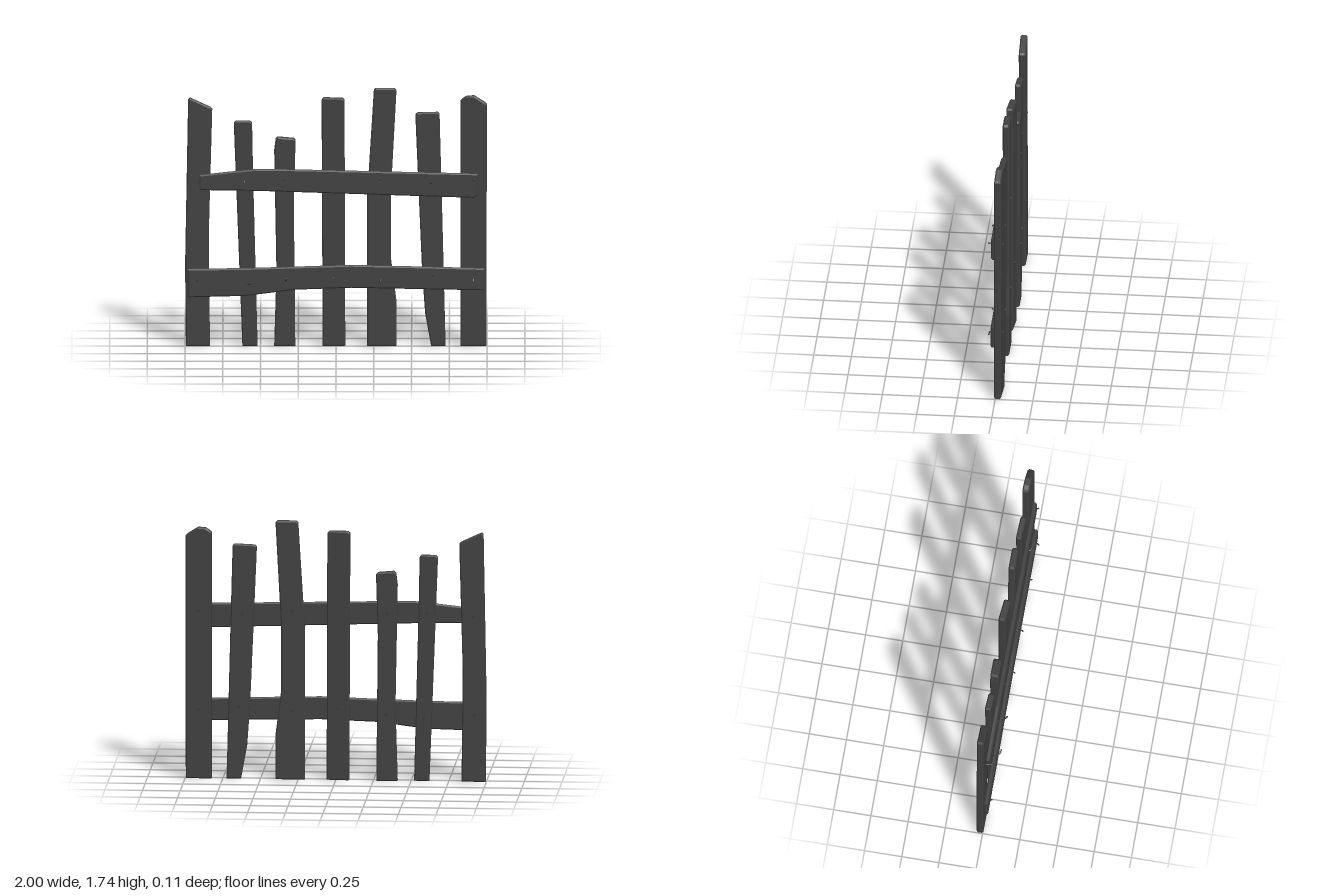
import * as THREE from 'three';

const wood = new THREE.MeshStandardMaterial({ color: 0x404040 });
const iron = new THREE.MeshStandardMaterial({ color: 0x383838, flatShading: true });

// Bevelled board cut from an outline, lying between two depths and twisted about its own upright axis
function board(name, outline, back, front, twist = 0) {
  const bevel = 0.008;
  const xs = outline.map(p => p[0]);
  const cx = (Math.min(...xs) + Math.max(...xs)) / 2;
  const depth = front - back - 2 * bevel;
  const shape = new THREE.Shape(outline.map(([x, y]) => new THREE.Vector2(x - cx, y)));
  const geo = new THREE.ExtrudeGeometry(shape, {
    depth, bevelThickness: bevel, bevelSize: bevel, bevelOffset: -bevel, bevelSegments: 1,
  });
  geo.translate(0, 0, -depth / 2);
  const mesh = new THREE.Mesh(geo, wood);
  mesh.name = name;
  mesh.position.set(cx, 0, (back + front) / 2);
  mesh.rotation.y = twist;
  return mesh;
}

// Both edges of a picket from the ground up, bent at their kinks
function picketEdges({ foot, top, left = [], right = [] }) {
  const [x0, y0, x1, y1] = top;
  return {
    left: [[foot[0], 0], ...left, [x0, y0]],
    right: [[foot[1], 0], ...right, [x1, y1]],
  };
}

// Outline of a picket, with both top corners clipped
function picketOutline(p) {
  const clip = 0.012;
  const { left, right } = picketEdges(p);
  const [x0, y0] = left.pop();
  const [x1, y1] = right.pop();
  return [...right, [x1, y1 - clip], [x1 - clip, y1], ...(p.crown ?? []), [x0 + clip, y0], [x0, y0 - clip],
    ...left.reverse()];
}

// x of an edge at height y
function edgeX(edge, y) {
  const i = edge.findIndex(p => p[1] > y);
  const [[xa, ya], [xb, yb]] = [edge[i - 1], edge[i]];
  return THREE.MathUtils.lerp(xa, xb, (y - ya) / (yb - ya));
}

// Rail from sections of [x, bottom, top]
function rail(name, sections) {
  const bottom = sections.map(([x, low]) => [x, low]);
  const top = sections.map(([x, , high]) => [x, high]).reverse();
  return board(name, [...bottom, ...top], 0.002, 0.034);
}

// Nail driven from behind: round head at the back, bent tip coming out in front
function nail(x, y, back, dx, dy) {
  const g = new THREE.Group();
  g.name = 'nail';
  const head = new THREE.Mesh(new THREE.CylinderGeometry(0.011, 0.011, 0.01, 8), iron);
  head.name = 'nailHead';
  head.rotation.x = Math.PI / 2;
  head.position.set(x, y, back - 0.001);
  const bend = new THREE.CatmullRomCurve3([
    new THREE.Vector3(x, y, back),
    new THREE.Vector3(x, y, 0.036),
    new THREE.Vector3(x + dx * 0.4, y + dy * 0.4, 0.046),
    new THREE.Vector3(x + dx, y + dy, 0.05),
  ]);
  const shank = new THREE.Mesh(new THREE.TubeGeometry(bend, 10, 0.005, 6), iron);
  shank.name = 'nailShank';
  const tip = new THREE.Mesh(new THREE.SphereGeometry(0.005, 6, 4), iron);
  tip.name = 'nailTip';
  tip.position.copy(bend.getPoint(1));
  g.add(head, shank, tip);
  return g;
}

// Pickets: foot is [left, right], top is [left x, y, right x, y], kinks are [x, y]
const pickets = [
  { foot: [-0.995, -0.835], top: [-0.98, 1.675, -0.82, 1.612], left: [[-1, 0.55]], right: [[-0.843, 0.75]], back: -0.042 },
  { foot: [-0.62, -0.52], top: [-0.677, 1.52, -0.557, 1.52], right: [[-0.55, 1.15]], back: -0.036, twist: -0.06 },
  { foot: [-0.41, -0.27], top: [-0.4, 1.41, -0.268, 1.4], left: [[-0.395, 0.5], [-0.41, 1.32]], right: [[-0.28, 0.98]], back: -0.051 },
  { foot: [-0.088, 0.06], top: [-0.095, 1.675, 0.055, 1.675], back: -0.042, twist: -0.1 },
  { foot: [0.205, 0.4], top: [0.25, 1.74, 0.4, 1.74], left: [[0.205, 1]], right: [[0.4, 0.3], [0.362, 0.6], [0.362, 1.02]], back: -0.04 },
  { foot: [0.63, 0.725], top: [0.525, 1.575, 0.685, 1.58], left: [[0.59, 0.22], [0.57, 0.5]], right: [[0.7, 1]], back: -0.034, twist: -0.04 },
  { foot: [0.825, 0.995], top: [0.825, 1.67, 0.998, 1.645], crown: [[0.915, 1.69], [0.865, 1.687]], back: -0.042, twist: -0.06 },
];

// Nails: picket index, height and the way the tip is bent
const nails = [
  [0, 1.115, 0.008, 0], [1, 1.13, 0, -0.014], [2, 1.13, 0.004, 0.004],
  [4, 1.135, 0, 0.006], [5, 1.11, 0.022, 0.004], [6, 1.13, 0.005, 0.006],
  [0, 0.45, 0.004, 0.004], [1, 0.425, 0.03, 0.012], [2, 0.448, 0.01, 0.018], [3, 0.48, 0, -0.014],
  [4, 0.46, 0, -0.02], [5, 0.485, 0.004, 0.003], [6, 0.465, 0, -0.025],
];

export function createModel() {
  const fence = new THREE.Group();
  fence.name = 'fence';
  pickets.forEach((p, i) => {
    fence.add(board(`picket${i + 1}`, picketOutline(p), p.back, 0.004, p.twist));
  });
  fence.add(
    rail('upperRail', [[-0.905, 1.06, 1.16], [-0.68, 1.057, 1.185], [-0.53, 1.055, 1.2], [-0.27, 1.047, 1.197],
      [0.915, 1.008, 1.17], [0.94, 1.03, 1.17]]),
    rail('lowerRail', [[-0.983, 0.335, 0.525], [-0.6, 0.345, 0.53], [-0.27, 0.387, 0.54], [0.1, 0.4, 0.552],
      [0.983, 0.383, 0.53]]),
  );
  for (const [i, y, dx, dy] of nails) {
    const { left, right } = picketEdges(pickets[i]);
    fence.add(nail((edgeX(left, y) + edgeX(right, y)) / 2, y, pickets[i].back, dx, dy));
  }
  return fence;
}
